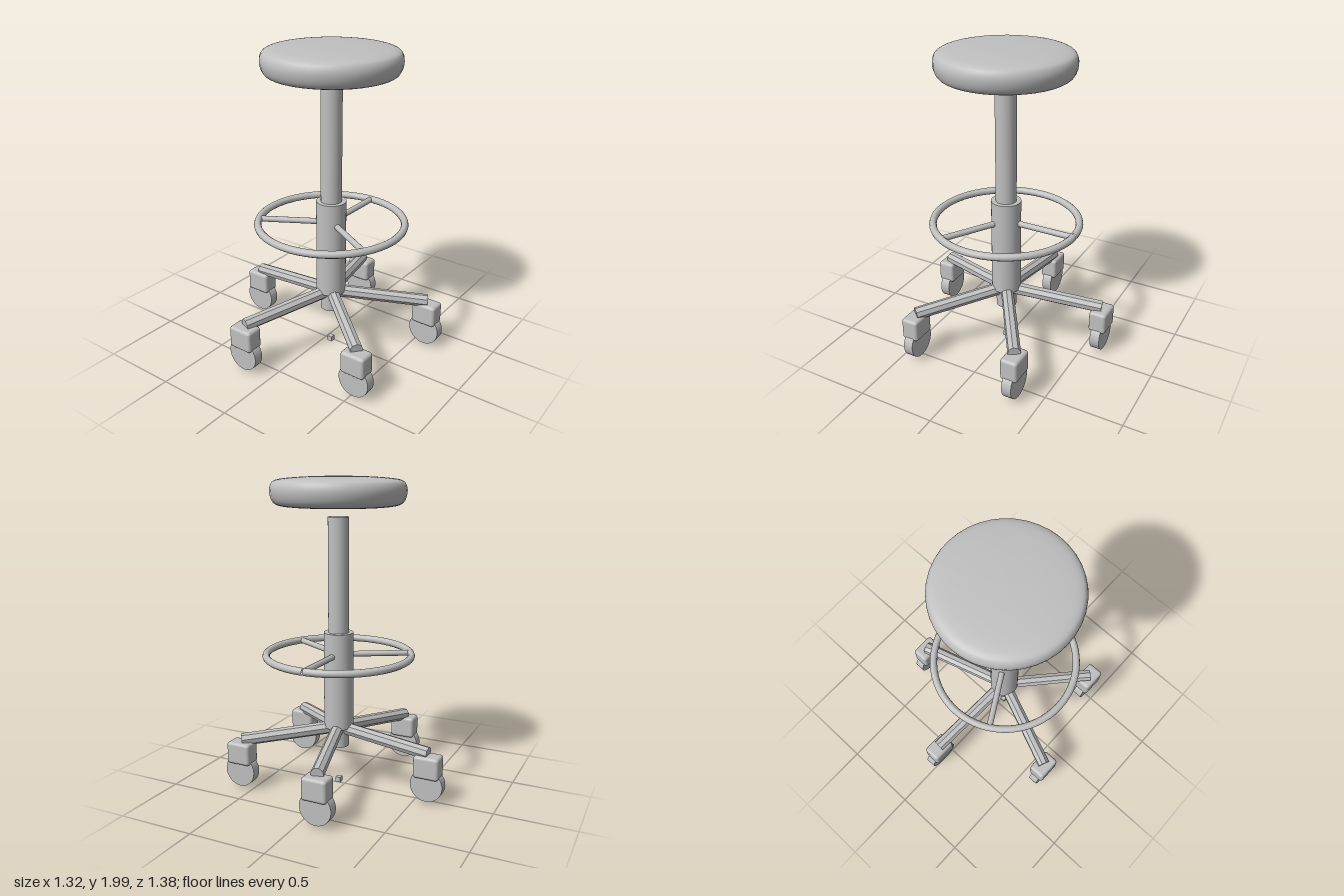
import * as THREE from 'three';
import { RoundedBoxGeometry } from 'three/addons/geometries/RoundedBoxGeometry.js';

const CX = -0.015, CZ = 0.05; // column axis

export function createModel() {
  const model = new THREE.Group();
  model.name = 'rollingStool';
  const grey = new THREE.MeshStandardMaterial({ color: 0xc0c0c0 });
  grey.name = 'lightGrey';
  const greyFaceted = new THREE.MeshStandardMaterial({ color: 0xc0c0c0, flatShading: true });
  greyFaceted.name = 'lightGreyFaceted';

  const add = (name, geometry, x, y, z, material = grey) => {
    const mesh = new THREE.Mesh(geometry, material);
    mesh.name = name;
    mesh.position.set(x, y, z);
    model.add(mesh);
    return mesh;
  };

  // Rod between two points
  const rod = (name, a, b, radius, sides, material) => {
    const dir = b.clone().sub(a);
    const mid = a.clone().add(b).multiplyScalar(0.5);
    const mesh = add(name, new THREE.CylinderGeometry(radius, radius, dir.length(), sides), mid.x, mid.y, mid.z, material);
    mesh.quaternion.setFromUnitVectors(new THREE.Vector3(0, 1, 0), dir.normalize());
    return mesh;
  };

  // Cushioned round seat
  const profile = new THREE.SplineCurve([
    [0, 1.815], [0.2, 1.815], [0.33, 1.819], [0.385, 1.832], [0.41, 1.862], [0.421, 1.91],
    [0.413, 1.95], [0.388, 1.974], [0.32, 1.987], [0.17, 1.997], [0, 2.0],
  ].map(([r, y]) => new THREE.Vector2(r, y))).getPoints(40);
  profile.forEach((p) => { p.x = Math.max(p.x, 0); });
  add('seat', new THREE.LatheGeometry(profile, 40), CX, 0, CZ);

  // Telescopic column
  const tube = (name, radius, y0, y1) =>
    add(name, new THREE.CylinderGeometry(radius, radius, y1 - y0, 32), CX, (y0 + y1) / 2, CZ);
  tube('innerColumn', 0.066, 0.27, 1.755);
  tube('outerColumn', 0.095, 0.4, 1.03);

  // Foot ring, with a narrow seam on the left
  const ring = add('footRing', new THREE.TorusGeometry(0.463, 0.0235, 10, 64, Math.PI * 2 - 0.015), CX, 0.885, CZ);
  ring.rotation.x = Math.PI / 2;
  ring.rotation.z = 0.0075;

  // Three spokes carrying the ring
  for (let i = 0; i < 3; i++) {
    const a = (i * Math.PI * 2) / 3;
    const at = (r) => new THREE.Vector3(CX + r * Math.cos(a), 0.885, CZ + r * Math.sin(a));
    rod('ringSpoke', at(0.05), at(0.455), 0.019, 12, grey);
  }

  // Five legs, each ending in a caster that rolls along z
  const casters = [[0.025, -0.585], [0.6, -0.115], [0.33, 0.58], [-0.415, 0.525], [-0.6, -0.185]];
  for (const [x, z] of casters) {
    const out = new THREE.Vector3(x - CX, 0, z - CZ).normalize().multiplyScalar(0.03);
    rod('leg', new THREE.Vector3(CX + out.x, 0.395, CZ + out.z),
      new THREE.Vector3(x, 0.333, z), 0.041, 8, greyFaceted);
    add('casterHousing', new RoundedBoxGeometry(0.115, 0.145, 0.165, 3, 0.02), x, 0.25, z);
    const wheel = add('casterWheel', new THREE.CylinderGeometry(0.105, 0.105, 0.064, 32), x, 0.13, z);
    wheel.rotation.z = Math.PI / 2;
  }

  // Small block under the column
  add('floorBlock', new THREE.BoxGeometry(0.034, 0.034, 0.034), CX, 0.025, CZ);
  return model;
}
